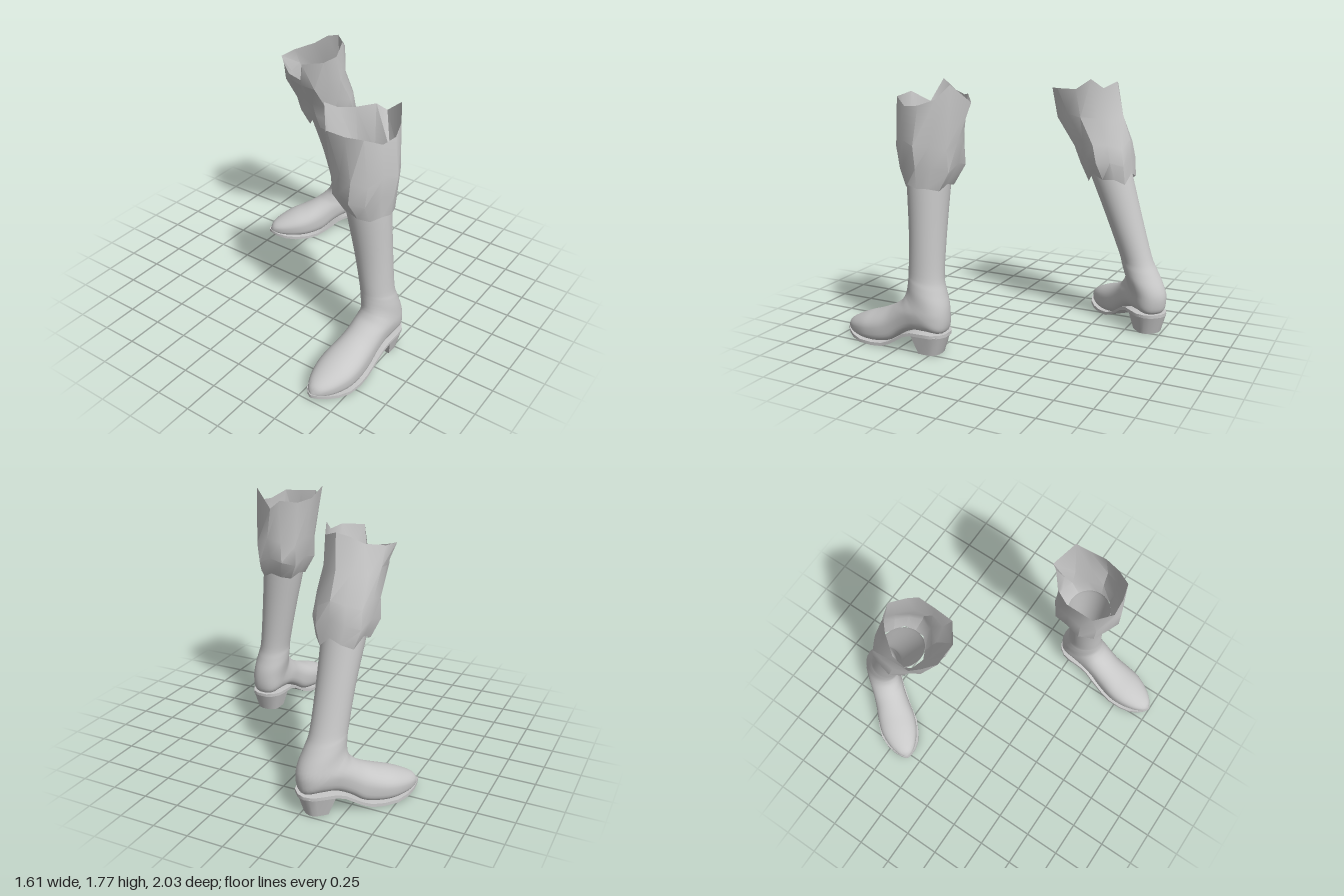
import * as THREE from 'three';
import { toCreasedNormals } from 'three/addons/utils/BufferGeometryUtils.js';

const grey = new THREE.MeshStandardMaterial({ color: 0xc8c8c8, side: THREE.DoubleSide });
grey.name = 'leatherGrey';
const V = (x, y, z) => new THREE.Vector3(x, y, z);

// Skin a list of equally long closed rings, with optional end caps
function loft(name, rings, { capStart = false, capEnd = false, crease = 0.8 } = {}) {
  const n = rings[0].length, index = [], points = rings.flat();
  for (let i = 0; i < rings.length - 1; i++) {
    for (let j = 0; j < n; j++) {
      const a = i * n + j, b = i * n + (j + 1) % n;
      index.push(a, a + n, b, b, a + n, b + n);
    }
  }
  const cap = (ring, start, flip) => {
    const c = points.length;
    points.push(ring.reduce((s, p) => s.add(p), V(0, 0, 0)).divideScalar(n));
    for (let j = 0; j < n; j++) {
      const a = start + j, b = start + (j + 1) % n;
      index.push(c, flip ? a : b, flip ? b : a);
    }
  };
  if (capStart) cap(rings[0], 0, true);
  if (capEnd) cap(rings.at(-1), (rings.length - 1) * n, false);
  const geometry = new THREE.BufferGeometry().setFromPoints(points);
  geometry.setIndex(index);
  const mesh = new THREE.Mesh(toCreasedNormals(geometry, crease), grey);
  mesh.name = name;
  return mesh;
}

// Upper, toe to shaft: top z, top y, bottom z, bottom y, centre x, half width, lower squareness
const UPPER = [
  [0.99, 0.055, 0.99, 0.035, 0.595, 0.01, 0.6],
  [0.965, 0.10, 0.965, 0.03, 0.60, 0.05, 0.55],
  [0.90, 0.14, 0.90, 0.02, 0.61, 0.095, 0.5],
  [0.80, 0.185, 0.80, 0.012, 0.622, 0.13, 0.5],
  [0.70, 0.22, 0.70, 0.012, 0.63, 0.138, 0.5],
  [0.60, 0.265, 0.58, 0.035, 0.643, 0.127, 0.5],
  [0.54, 0.30, 0.48, 0.10, 0.655, 0.12, 0.55],
  [0.49, 0.34, 0.38, 0.145, 0.665, 0.12, 0.6],
  [0.465, 0.38, 0.27, 0.15, 0.675, 0.12, 0.65],
  [0.455, 0.41, 0.175, 0.15, 0.68, 0.12, 0.75],
  [0.45, 0.44, 0.148, 0.21, 0.68, 0.12, 0.85],
  [0.447, 0.47, 0.152, 0.32, 0.68, 0.12, 0.95],
  [0.445, 0.50, 0.18, 0.42, 0.68, 0.115, 1],
  [0.445, 0.55, 0.20, 0.52, 0.68, 0.11, 1],
  [0.45, 0.80, 0.20, 0.80, 0.68, 0.126, 1],
  [0.475, 1.12, 0.19, 1.12, 0.68, 0.15, 1],
  [0.475, 1.18, 0.19, 1.18, 0.68, 0.15, 1],
];

function upperRings() {
  const curve = f => new THREE.CatmullRomCurve3(UPPER.map(f), false, 'catmullrom', 0.5);
  const top = curve(r => V(0, r[1], r[0]));
  const bottom = curve(r => V(0, r[3], r[2]));
  const size = curve(r => V(r[4], r[5], r[6]));
  const rings = [], steps = 64, sides = 32;
  for (let i = 0; i <= steps; i++) {
    const t = i / steps, T = top.getPoint(t), B = bottom.getPoint(t), S = size.getPoint(t);
    rings.push(Array.from({ length: sides }, (_, j) => {
      const a = j / sides * Math.PI * 2, c = Math.cos(a), s = Math.sin(a);
      const p = c < 0 ? S.z : 1;
      const u = Math.sign(c) * Math.abs(c) ** p, w = Math.sign(s) * Math.abs(s) ** p;
      const q = B.clone().lerp(T, (u + 1) / 2);
      q.x = S.x - w * S.y;
      return q;
    }));
  }
  return rings;
}

// Sole stations, toe to heel: z, centre x, half width, underside height
const SOLE = [
  [1.0, 0.595, 0.008, 0.032], [0.98, 0.597, 0.04, 0.027], [0.94, 0.603, 0.08, 0.018],
  [0.88, 0.612, 0.117, 0.008], [0.8, 0.624, 0.142, 0], [0.7, 0.631, 0.148, 0],
  [0.62, 0.64, 0.137, 0.006], [0.56, 0.648, 0.13, 0.03], [0.5, 0.655, 0.126, 0.065],
  [0.44, 0.665, 0.124, 0.105], [0.38, 0.67, 0.123, 0.125], [0.28, 0.675, 0.123, 0.13],
  [0.22, 0.678, 0.115, 0.13], [0.17, 0.68, 0.08, 0.13], [0.147, 0.68, 0.035, 0.13],
];
const soleRings = () => SOLE.map(([z, x, w, y]) => [
  V(x + w, y + 0.022, z), V(x - w, y + 0.022, z), V(x - w, y, z), V(x + w, y, z)]);

// Stacked heel: flat breast in front, rounded back, tapering to the ground
const heelRings = () => [[0, 0.085, 0.33, 0.195], [0.135, 0.113, 0.375, 0.152]].map(([y, w, front, back]) => {
  const ring = [V(0.68 + w, y, front), V(0.68 - w, y, front)];
  for (let j = 0; j <= 8; j++) {
    const a = j / 8 * Math.PI;
    ring.push(V(0.68 - w * Math.cos(a), y, back + w * 0.8 * (1 - Math.sin(a) ** 0.8)));
  }
  return ring;
});

// Crumpled cuff: oval rings (y, x, z, rx, rz, jag) below a ragged rim
function cuff(ovals, rim) {
  const n = rim.length;
  const rings = ovals.map(([y, x, z, rx, rz, jag], k) => Array.from({ length: n }, (_, j) => {
    const a = j / n * Math.PI * 2, r = 1 + 0.05 * Math.sin(j * 2.3 + k);
    return V(x + rx * r * Math.cos(a), y + jag * Math.sin(j * 2.1), z + rz * r * Math.sin(a));
  }));
  rings.push(rim.map(p => V(...p)));
  return loft('cuff', rings, { crease: 0.6 });
}

function boot(name, { mirror, turn, x, z, leanX, leanZ, ovals, rim }) {
  // Place the foot, then lean the leg above the ankle
  const place = rings => rings.map(ring => {
    const out = ring.map(p => {
      const q = V((p.x - 0.66) * (mirror ? -1 : 1), p.y, p.z - 0.32);
      q.applyAxisAngle(V(0, 1, 0), turn);
      const rise = Math.max(0, p.y - 0.28);
      return q.add(V(x + leanX * rise, 0, z + leanZ * rise));
    });
    return mirror ? out.reverse() : out;
  });
  const group = new THREE.Group();
  group.name = name;
  group.add(
    loft('footAndShaft', place(upperRings()), { capStart: true, crease: 1 }),
    loft('sole', place(soleRings()), { capStart: true, capEnd: true }),
    loft('heel', place(heelRings()), { capStart: true, capEnd: true, crease: 0.6 }),
    cuff(ovals, rim));
  return group;
}

export function createModel() {
  const model = new THREE.Group();
  model.name = 'pairOfBoots';
  model.add(
    boot('leftBoot', {
      mirror: false, turn: 0, x: 0.66, z: 0.32, leanX: -0.13, leanZ: 0.005,
      ovals: [
        [1.11, 0.572, 0.335, 0.16, 0.155, 0.02],
        [1.24, 0.54, 0.33, 0.2, 0.222, 0.03],
        [1.39, 0.55, 0.33, 0.212, 0.222, 0.03],
      ],
      rim: [
        [0.73, 1.64, 0.31], [0.71, 1.63, 0.42], [0.64, 1.68, 0.52], [0.53, 1.68, 0.55],
        [0.41, 1.69, 0.56], [0.33, 1.62, 0.46], [0.27, 1.77, 0.39], [0.3, 1.7, 0.28],
        [0.36, 1.68, 0.18], [0.46, 1.7, 0.1], [0.51, 1.65, 0.05], [0.65, 1.77, 0.12],
        [0.7, 1.68, 0.2],
      ],
    }),
    boot('rightBoot', {
      mirror: true, turn: -0.82, x: -0.337, z: -0.851, leanX: 0, leanZ: 0.34,
      ovals: [
        [1.08, -0.352, -0.58, 0.165, 0.165, 0.04],
        [1.2, -0.355, -0.55, 0.215, 0.19, 0.03],
        [1.32, -0.355, -0.52, 0.205, 0.205, 0.03],
        [1.5, -0.362, -0.42, 0.2, 0.235, 0.02],
      ],
      rim: [
        [-0.17, 1.69, -0.38], [-0.18, 1.69, -0.24], [-0.3, 1.68, -0.15], [-0.34, 1.54, -0.19],
        [-0.43, 1.57, -0.18], [-0.52, 1.6, -0.24], [-0.58, 1.63, -0.29], [-0.56, 1.64, -0.42],
        [-0.47, 1.67, -0.54], [-0.4, 1.72, -0.6], [-0.32, 1.74, -0.62], [-0.22, 1.7, -0.56],
        [-0.19, 1.76, -0.48],
      ],
    }));
  return model;
}
